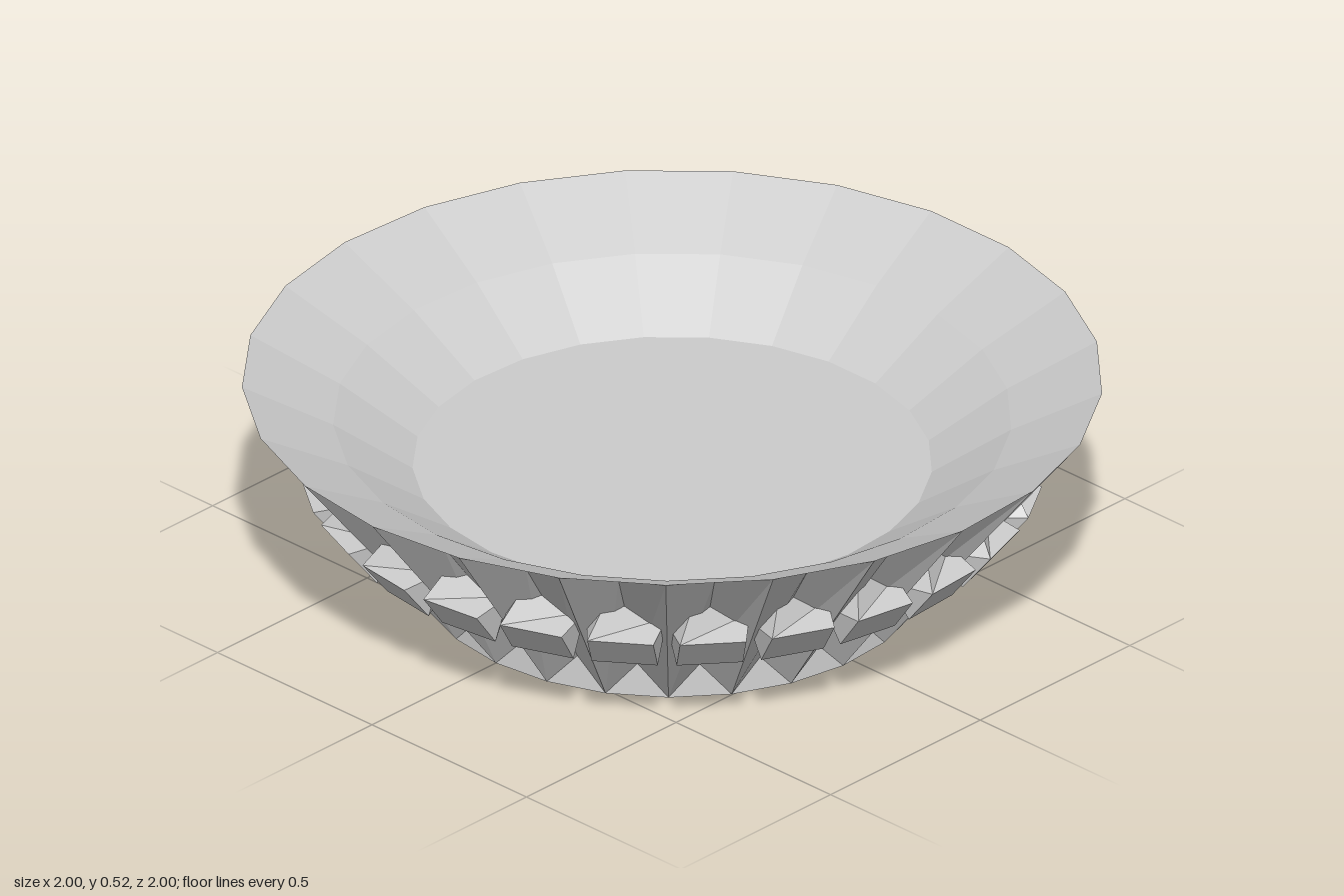
import * as THREE from 'three';

const SIDES = 25;
const STEP = (Math.PI * 2) / SIDES;

export function createModel() {
  const model = new THREE.Group();
  model.name = 'flutedBowl';
  const body = new THREE.Group();
  body.name = 'bowl';
  body.position.z = -0.004;
  model.add(body);
  const material = new THREE.MeshStandardMaterial({ color: 0xcccccc, flatShading: true });

  const add = (geometry, name) => {
    const mesh = new THREE.Mesh(geometry, material);
    mesh.name = name;
    body.add(mesh);
    return mesh;
  };
  const lathe = (profile, name) =>
    add(new THREE.LatheGeometry(profile.map(([r, y]) => new THREE.Vector2(r, y)), SIDES), name);

  // Sloping inside wall with a flat raised floor
  lathe([[1.002, 0.525], [0.79, 0.42], [0.605, 0.3]], 'innerWall');
  lathe([[0.605, 0.3], [0, 0.3]], 'floor');
  // Hollow underside
  lathe([[0, 0.22], [0.19, 0.22], [0.38, 0.1], [0.59, 0]], 'underside');

  // Outer wall: a V-shaped groove between each pair of ridges
  const at = (angle, r, y) => [Math.sin(angle) * r, y, Math.cos(angle) * r];
  const corners = [];
  for (let i = 0; i < SIDES; i++) {
    const a = i * STEP, m = a + STEP / 2, b = a + STEP;
    const b0 = at(a, 0.59, 0), b1 = at(b, 0.59, 0);
    const t0 = at(a, 1.002, 0.525), t1 = at(b, 1.002, 0.525);
    const low = at(m, 0.577, 0.08), high = at(m, 0.892, 0.472);
    corners.push(
      b0, b1, low,
      b0, low, high, b0, high, t0,
      low, b1, t1, low, t1, high,
      t0, high, t1
    );
  }
  const outer = new THREE.BufferGeometry();
  outer.setAttribute('position', new THREE.Float32BufferAttribute(corners.flat(), 3));
  outer.computeVertexNormals();
  add(outer, 'flutedWall');

  // Stud: a box whose rear face is twisted where it sinks into the groove
  const stud = new THREE.BoxGeometry(0.155, 0.118, 0.09);
  stud.translate(0, 0, -0.045);
  const p = stud.attributes.position;
  const c = Math.cos(0.49), s = Math.sin(0.49);
  for (let i = 0; i < p.count; i++) {
    if (p.getZ(i) > -0.01) continue;
    const x = p.getX(i), y = p.getY(i);
    p.setXY(i, x * c + y * s, y * c - x * s);
  }
  stud.computeVertexNormals();

  // One stud in every groove, tilted with the wall
  for (let i = 0; i < SIDES; i++) {
    const angle = (i + 0.5) * STEP;
    const mesh = add(stud, 'stud' + (i + 1));
    mesh.position.set(...at(angle, 0.825, 0.243));
    mesh.rotation.set(0.664, angle, 0, 'YXZ');
  }
  return model;
}
